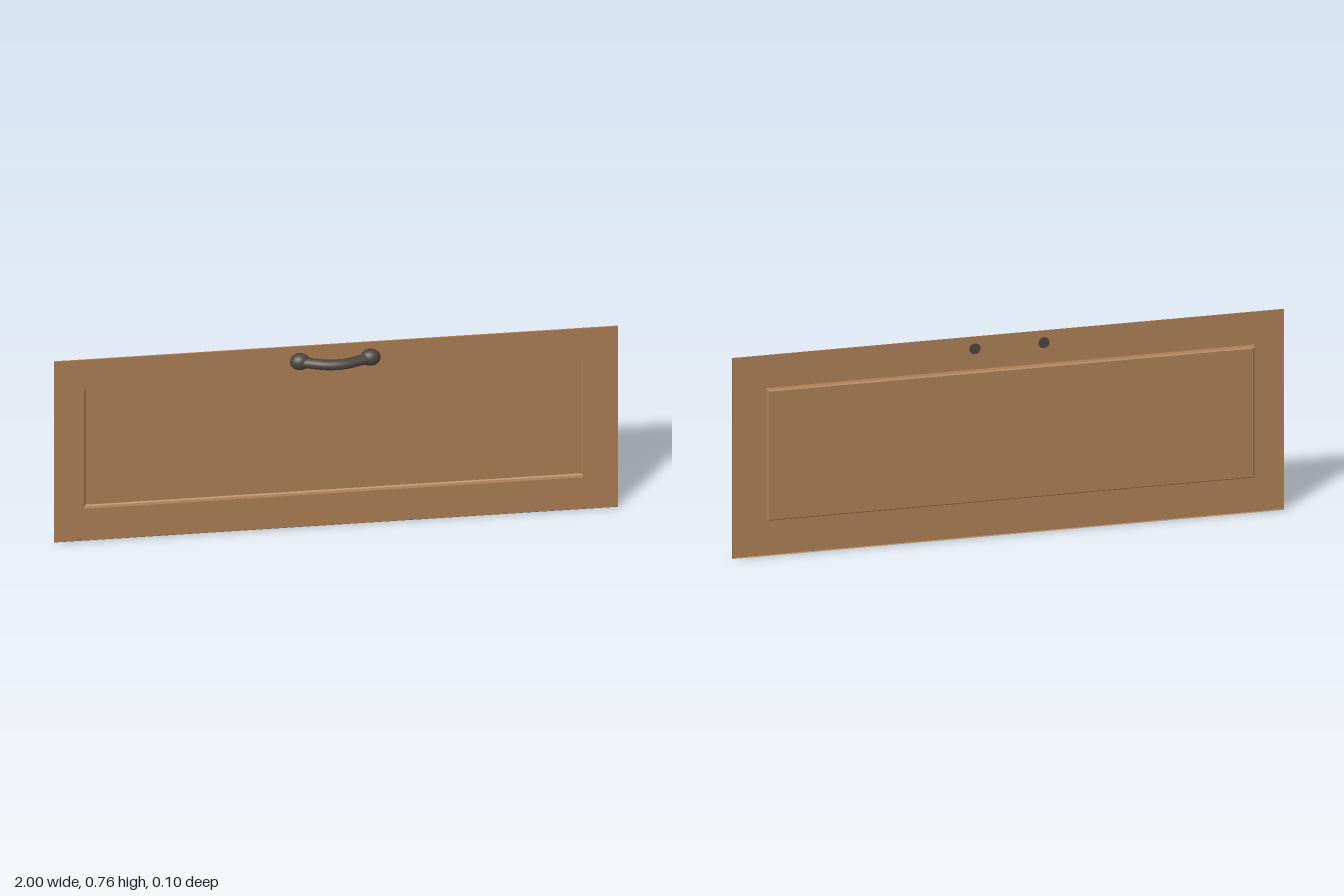
import * as THREE from 'three';

const wood = new THREE.MeshStandardMaterial({ color: 0xa87c52, side: THREE.DoubleSide });
wood.name = 'wood';
const iron = new THREE.MeshStandardMaterial({ color: 0x4b433d });
iron.name = 'dark iron';

// Skin between successive rectangles [x0, x1, y0, y1, z], closed by the last one
function rectLoft(rects) {
  const pos = [];
  const corners = ([x0, x1, y0, y1, z]) => [[x0, y0, z], [x1, y0, z], [x1, y1, z], [x0, y1, z]];
  const quad = (a, b, c, d) => pos.push(...a, ...b, ...c, ...a, ...c, ...d);
  for (let i = 0; i < rects.length - 1; i++) {
    const outer = corners(rects[i]), inner = corners(rects[i + 1]);
    for (let k = 0; k < 4; k++) {
      const n = (k + 1) % 4;
      quad(outer[k], outer[n], inner[n], inner[k]);
    }
  }
  quad(...corners(rects[rects.length - 1]));
  const geo = new THREE.BufferGeometry();
  geo.setAttribute('position', new THREE.Float32BufferAttribute(pos, 3));
  geo.computeVertexNormals();
  return geo;
}

export function createModel() {
  const model = new THREE.Group();
  model.name = 'drawerFront';
  const add = (parent, name, geo, mat) => {
    const mesh = new THREE.Mesh(geo, mat);
    mesh.name = name;
    parent.add(mesh);
    return mesh;
  };

  // Thin front sheet: turned-back lip, flat frame, tapered recess and panel
  add(model, 'recessedPanel', rectLoft([
    [-1, 1, 0, 0.76, -0.034],
    [-0.998, 0.998, 0.003, 0.759, -0.031],
    [-0.893, 0.878, 0.135, 0.634, -0.031],
    [-0.89, 0.875, 0.137, 0.631, -0.044],
    [-0.885, 0.87, 0.141, 0.626, -0.048],
  ]), wood);

  // Bowed pull handle with a rounded mount at each end
  const handle = new THREE.Group();
  handle.name = 'handle';
  handle.position.set(-0.006, 0.712, 0);
  model.add(handle);

  const bow = new THREE.CatmullRomCurve3([
    [-0.125, 0, 0], [-0.085, 0, 0.012], [-0.04, 0, 0.026],
    [0, 0, 0.03], [0.04, 0, 0.026], [0.085, 0, 0.012], [0.125, 0, 0],
  ].map((p) => new THREE.Vector3(...p)));
  add(handle, 'gripBar', new THREE.TubeGeometry(bow, 32, 0.019, 14), iron);

  for (const side of [-1, 1]) {
    const knob = add(handle, 'mountKnob', new THREE.SphereGeometry(1, 24, 16), iron);
    knob.scale.set(0.036, 0.031, 0.028);
    knob.position.set(side * 0.125, 0, -0.005);

    // Base passes just through the sheet
    const base = add(handle, 'mountBase', new THREE.CylinderGeometry(0.03, 0.02, 0.026, 20), iron);
    base.rotation.x = Math.PI / 2;
    base.position.set(side * 0.125, 0, -0.0195);
  }
  return model;
}
